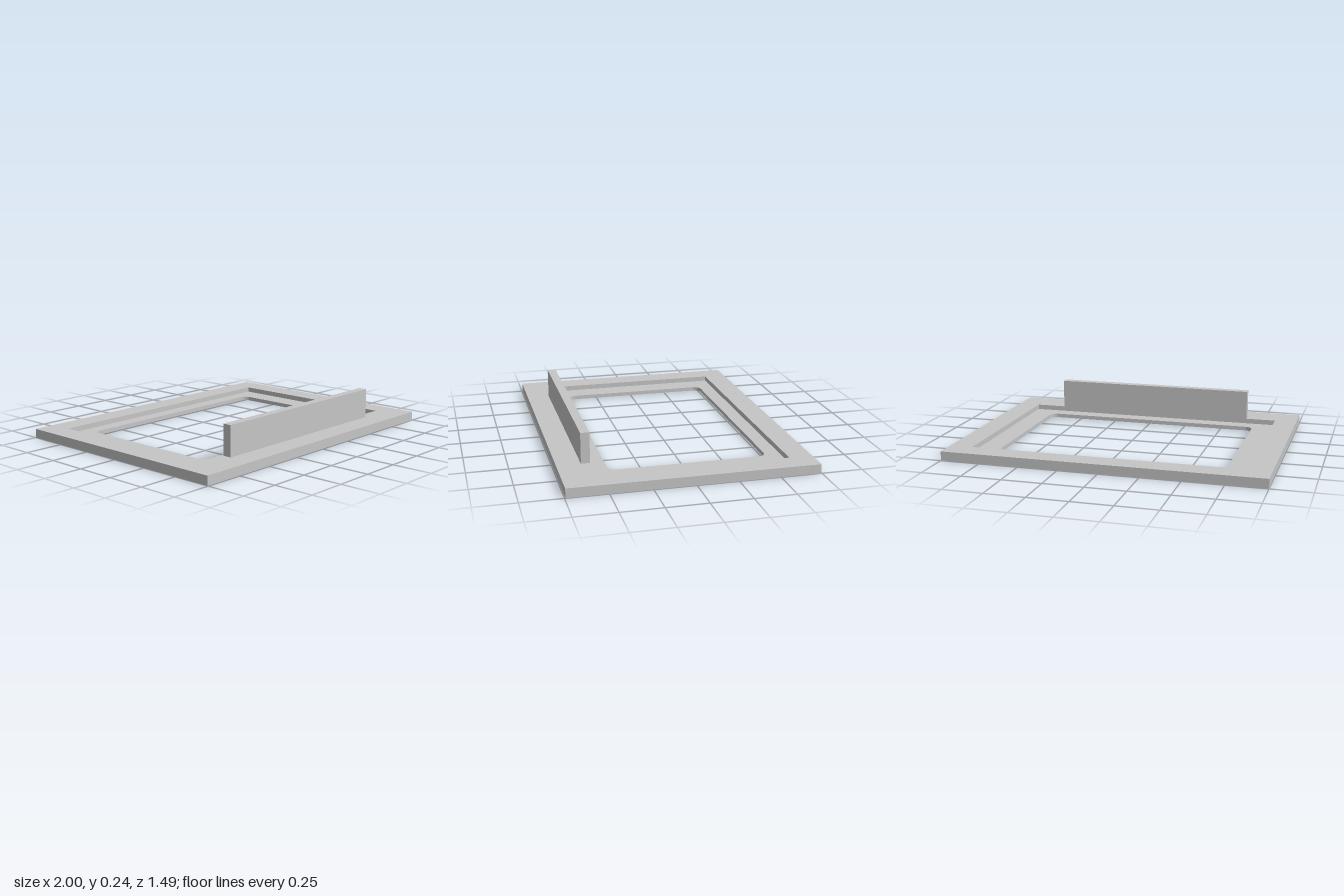
import * as THREE from 'three';

// Rectangle outline in plan, given by x half-width and z range, with optional rounded corners
function outline(Path, hx, zBack, zFront, r = 0) {
  const p = new Path();
  const top = -zBack, bottom = -zFront;
  if (r === 0) {
    p.moveTo(-hx, bottom).lineTo(hx, bottom).lineTo(hx, top).lineTo(-hx, top);
    p.closePath();
    return p;
  }
  p.moveTo(-hx + r, bottom);
  p.absarc(hx - r, bottom + r, r, -Math.PI / 2, 0);
  p.absarc(hx - r, top - r, r, 0, Math.PI / 2);
  p.absarc(-hx + r, top - r, r, Math.PI / 2, Math.PI);
  p.absarc(-hx + r, bottom + r, r, Math.PI, Math.PI * 1.5);
  p.closePath();
  return p;
}

// Flat ring standing on y = 0
function ring(outer, hole, height) {
  outer.holes.push(hole);
  const g = new THREE.ExtrudeGeometry(outer, { depth: height, bevelEnabled: false, curveSegments: 8 });
  return g.rotateX(-Math.PI / 2);
}

export function createModel() {
  const model = new THREE.Group();
  model.name = 'recessedFrame';
  const grey = new THREE.MeshStandardMaterial({ name: 'lightGrey', color: 0xc5c5c5 });
  const add = (name, geometry) => {
    const mesh = new THREE.Mesh(geometry, grey);
    mesh.name = name;
    model.add(mesh);
    return mesh;
  };

  const plateTop = 0.057, lipTop = 0.025;
  const recess = [0.857, -0.602, 0.546];

  // Outer frame at full thickness
  add('outerFrame', ring(
    outline(THREE.Shape, 1, -0.745, 0.745),
    outline(THREE.Path, ...recess), plateTop));

  // Thin sunken lip around the rounded opening
  add('recessedLip', ring(
    outline(THREE.Shape, ...recess),
    outline(THREE.Path, 0.718, -0.512, 0.45, 0.05), lipTop));

  // Upright wall along the front edge of the recess
  const wallTop = 0.245, wallBack = recess[2], wallFront = 0.6;
  add('frontWall', new THREE.BoxGeometry(1.32, wallTop - plateTop, wallFront - wallBack))
    .position.set(0, (wallTop + plateTop) / 2, (wallBack + wallFront) / 2);

  return model;
}
